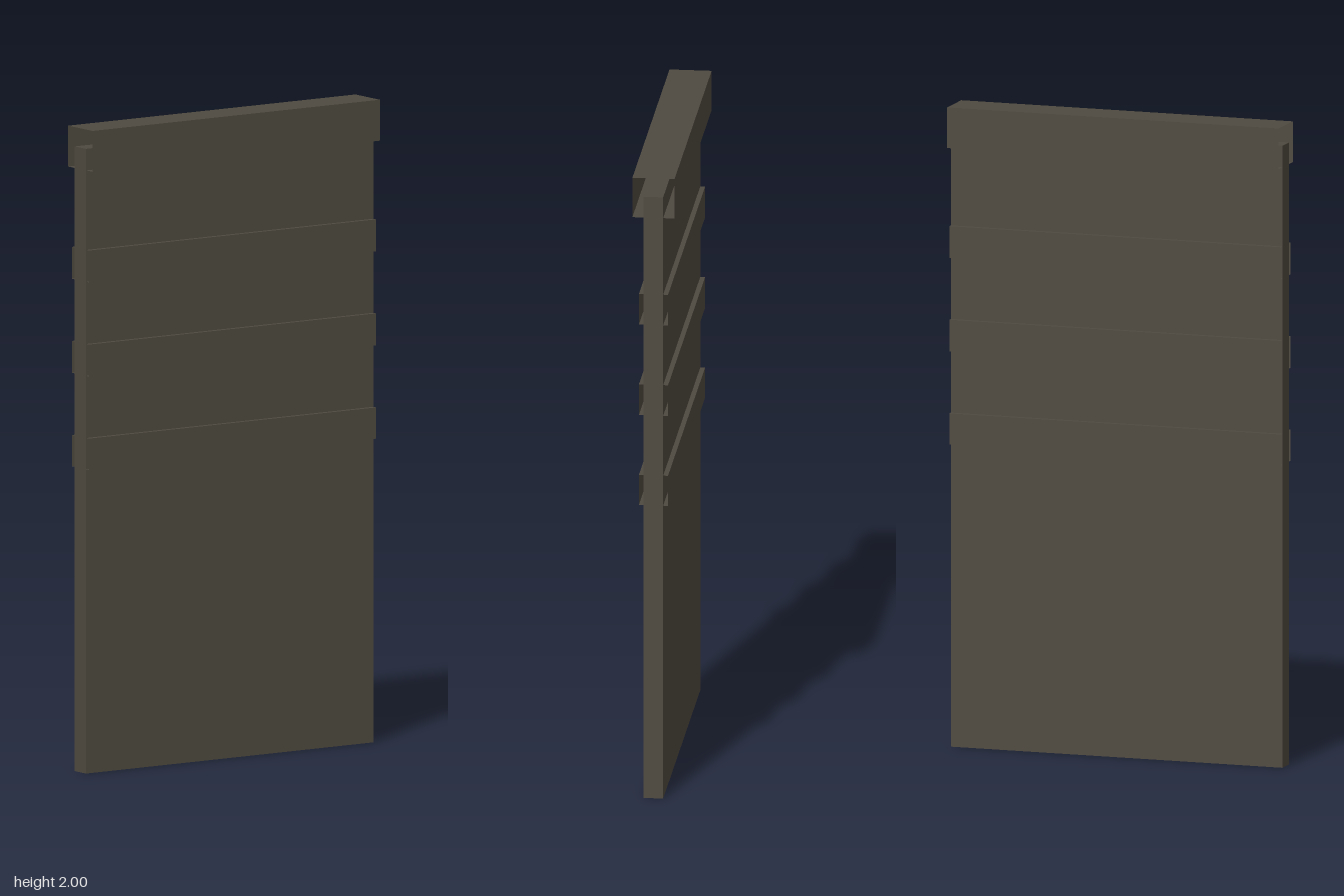
import * as THREE from 'three';

const HALF_WIDTH = 0.54;
const SLAB_Z = 0.03;

// Folded sheet: a [z, y] profile run across the full width, open at both ends
function foldedSheet(profile) {
  const pos = [];
  for (let i = 0; i < profile.length - 1; i++) {
    const [az, ay] = profile[i];
    const [bz, by] = profile[i + 1];
    const aL = [-HALF_WIDTH, ay, az], aR = [HALF_WIDTH, ay, az];
    const bL = [-HALF_WIDTH, by, bz], bR = [HALF_WIDTH, by, bz];
    pos.push(...aL, ...bL, ...bR, ...aL, ...bR, ...aR);
  }
  const geo = new THREE.BufferGeometry();
  geo.setAttribute('position', new THREE.Float32BufferAttribute(pos, 3));
  geo.computeVertexNormals();
  return geo;
}

export function createModel() {
  const model = new THREE.Group();
  model.name = 'panel';
  const paint = new THREE.MeshStandardMaterial({ color: 0x4f4a40, side: THREE.DoubleSide });
  paint.name = 'darkOlive';

  const add = (name, geo) => {
    const mesh = new THREE.Mesh(geo, paint);
    mesh.name = name;
    model.add(mesh);
    return mesh;
  };

  // Main slab
  const slabHeight = 1.94;
  add('slab', new THREE.BoxGeometry(HALF_WIDTH * 2, slabHeight, SLAB_Z * 2)).position.y = slabHeight / 2;

  // Cap folded over the top edge
  const capZ = 0.065, capBottom = 1.873;
  add('topCap', foldedSheet([
    [-SLAB_Z, capBottom], [-capZ, capBottom], [-capZ, 2],
    [capZ, 2], [capZ, capBottom], [SLAB_Z, capBottom],
  ]));

  // Three raised bands on each face
  const bandZ = 0.045;
  [[1.527, 1.626], [1.235, 1.334], [0.945, 1.042]].forEach(([bottom, top], i) => {
    const geo = foldedSheet([[SLAB_Z, top], [bandZ, top], [bandZ, bottom], [SLAB_Z, bottom]]);
    add(`frontBand${i + 1}`, geo);
    add(`backBand${i + 1}`, geo).rotation.y = Math.PI;
  });

  return model;
}
